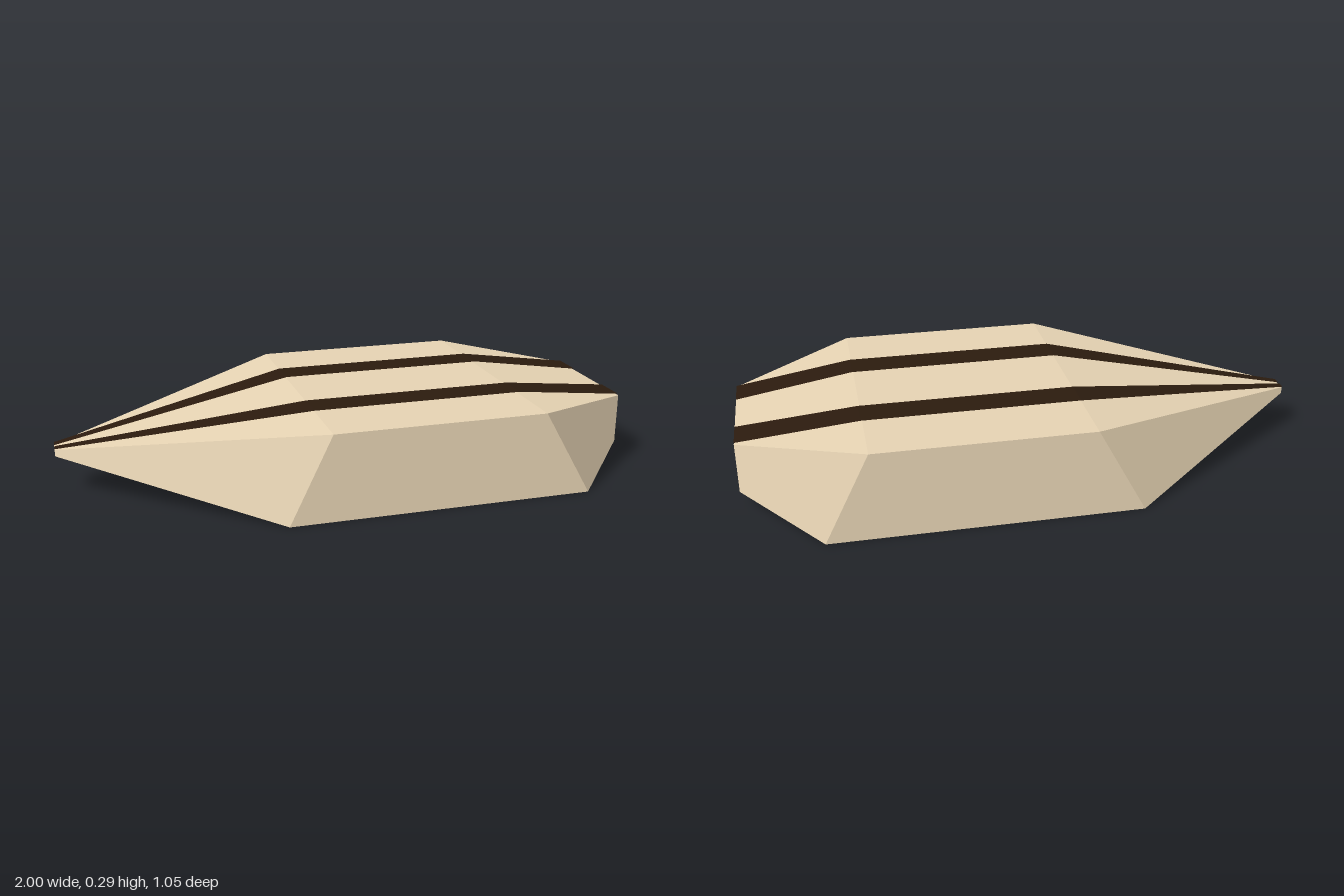
import * as THREE from 'three';

const v = (x, y, z) => new THREE.Vector3(x, y, z);

// Mesh from four-cornered facets, each shaded with one normal across both triangles
// and split along the diagonal from its first to its third corner
function facetMesh(name, quads, color, side = THREE.FrontSide) {
  const points = [], normals = [];
  for (const [a, b, c, d] of quads) {
    const normal = c.clone().sub(a).cross(d.clone().sub(b)).normalize();
    points.push(a, b, c, a, c, d);
    for (let i = 0; i < 6; i++) normals.push(...normal.toArray());
  }
  const geometry = new THREE.BufferGeometry().setFromPoints(points);
  geometry.setAttribute('normal', new THREE.Float32BufferAttribute(normals, 3));
  const mesh = new THREE.Mesh(geometry, new THREE.MeshStandardMaterial({ color, side }));
  mesh.name = name;
  return mesh;
}

// Cross-sections from the pointed end to the blunt end: top [x, y, z], bottom [x, y, z]
const sections = [
  { top: [-1, 0.155, 0.03], bottom: [-1, 0.132, 0.03] },
  { top: [-0.155, 0.284, 0.487], bottom: [-0.31, 0, 0.524] },
  { top: [0.585, 0.284, 0.487], bottom: [0.738, 0, 0.524] },
  { top: [1, 0.231, 0.23], bottom: [1, 0.055, 0.23] },
];

// Corner loop: top left, bottom left, bottom right, top right
const ring = ({ top: [tx, ty, tz], bottom: [bx, by, bz] }) =>
  [v(tx, ty, tz), v(bx, by, bz), v(bx, by, -bz), v(tx, ty, -tz)];

function createHull() {
  const rings = sections.map(ring);
  const quads = [];
  for (let i = 0; i < 3; i++) {
    const a = rings[i], b = rings[i + 1];
    for (let j = 0; j < 4; j++) {
      const k = (j + 1) % 4;
      // The far flank takes the other diagonal so both flanks fold alike
      quads.push(j === 2 ? [a[j], a[k], b[k], b[j]] : [a[k], b[k], b[j], a[j]]);
    }
  }
  // End caps
  quads.push([...rings[0]].reverse(), rings[3]);
  return facetMesh('hull', quads, 0xe6d3b3);
}

// Painted band lying just above the deck: [x, y, inner z, outer z]
function createStripe(name, sign) {
  const path = [
    [-1, 0.16, 0.005, 0.036],
    [-0.155, 0.289, 0.143, 0.258],
    [0.59, 0.289, 0.143, 0.258],
    [1, 0.236, 0.108, 0.227],
  ];
  const quads = [];
  for (let i = 0; i < 3; i++) {
    const [[ax, ay, ai, ao], [bx, by, bi, bo]] = [path[i], path[i + 1]];
    const quad = [v(ax, ay, sign * ai), v(ax, ay, sign * ao), v(bx, by, sign * bo), v(bx, by, sign * bi)];
    quads.push(sign > 0 ? quad : quad.reverse());
  }
  return facetMesh(name, quads, 0x2b1b0e, THREE.DoubleSide);
}

export function createModel() {
  const model = new THREE.Group();
  model.name = 'stripedHull';
  model.add(createHull(), createStripe('frontStripe', 1), createStripe('backStripe', -1));
  return model;
}
